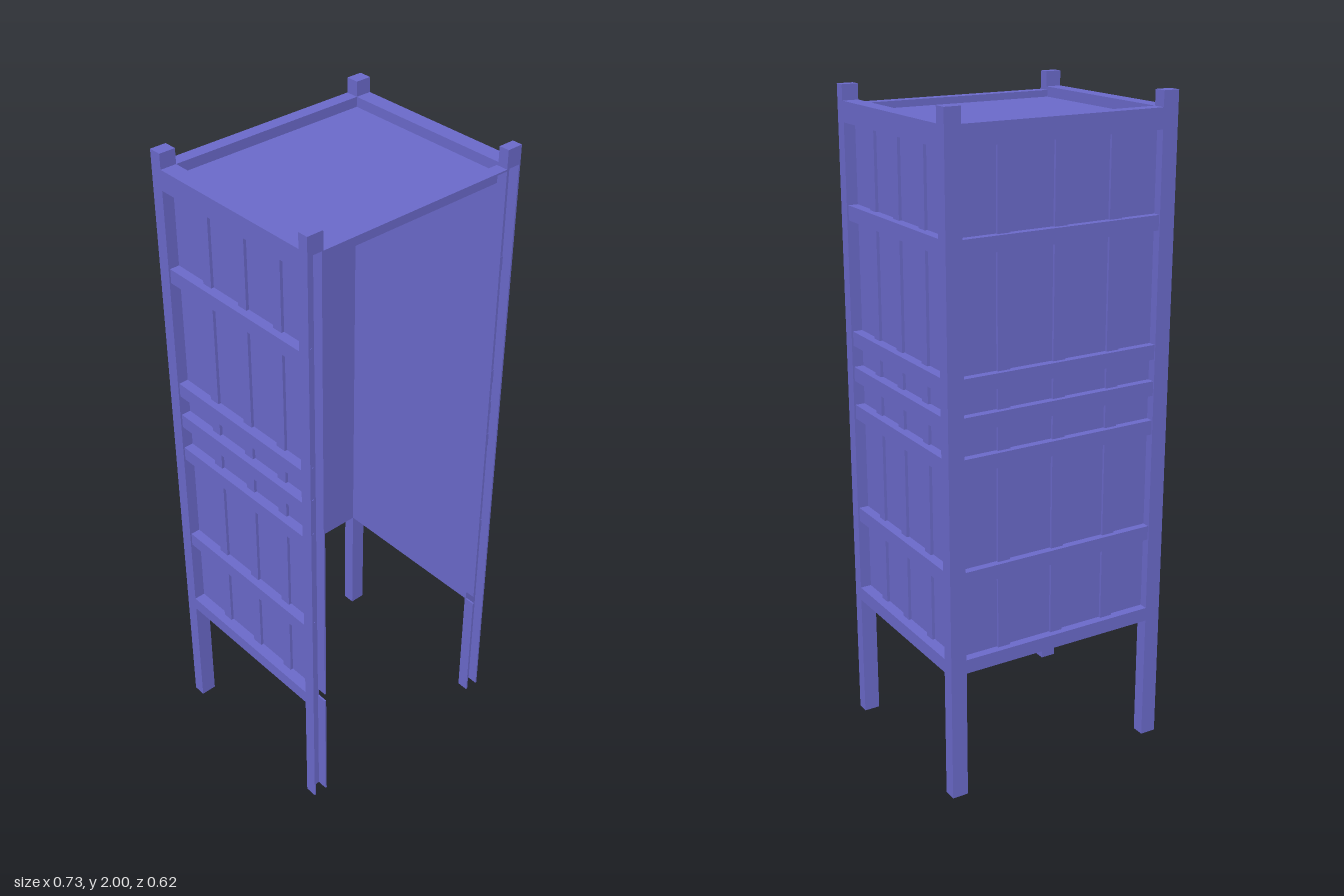
import * as THREE from 'three';

export function createModel() {
  const model = new THREE.Group();
  model.name = 'cabinet';
  const paint = new THREE.MeshStandardMaterial({ color: 0x6a69c9 });
  paint.name = 'violet paint';

  // Box given by its limits on each axis
  function box(name, x0, x1, y0, y1, z0, z1, parent = model) {
    const mesh = new THREE.Mesh(new THREE.BoxGeometry(x1 - x0, y1 - y0, z1 - z0), paint);
    mesh.position.set((x0 + x1) / 2, (y0 + y1) / 2, (z0 + z1) / 2);
    mesh.name = name;
    parent.add(mesh);
  }
  // Box mirrored to both sides in x
  function pair(name, x0, x1, y0, y1, z0, z1) {
    box(name + 'Left', x0, x1, y0, y1, z0, z1);
    box(name + 'Right', -x1, -x0, y0, y1, z0, z1);
  }

  const X = 0.367, XI = 0.317, Z = 0.31, ZB = -0.27, ZF = 0.278, T = 0.005;
  const bottom = 0.4, top = 1.955;

  // Solid back legs
  pair('backLeg', XI, X, 0, 2, -Z, ZB);

  // Front legs: channels open to the front, with solid tops
  pair('frontLegOuterSide', X - T, X, 0, top, ZF, Z);
  pair('frontLegInnerSide', XI, XI + T, 0, bottom, ZF, Z);
  pair('frontLegInnerUpperSide', XI, XI + T, bottom + 0.03, top, ZF, Z);
  pair('frontLegLowerWeb', XI, X, 0, bottom, ZF - T, ZF);
  pair('frontLegUpperWeb', XI, X, bottom + 0.03, top, ZF - T, ZF);
  pair('frontLegTop', XI, X, 1.945, 2, ZF, Z);

  // Top and bottom frame rails
  for (const [name, y0, y1] of [['bottomRail', bottom, 0.443], ['topRail', 1.895, top]]) {
    pair(name + 'Side', XI, X, y0, y1, ZB, ZF);
    box(name + 'Back', -XI, XI, y0, y1, -Z, ZB);
  }

  // Front top rail, open to the front
  box('frontRailWeb', -XI, XI, 1.895, 1.945, ZF - T, ZF);
  box('frontRailTop', -XI, XI, 1.94, 1.945, ZF, Z);

  // Roof
  box('roof', -XI, XI, 1.9, 1.925, ZB, ZF);

  // Wall panels
  pair('sidePanel', XI, 0.332, 0.443, 1.895, ZB, ZF);
  box('backPanel', -XI, XI, 0.443, 1.895, -0.283, ZB);

  // Upright strips
  for (const z of [0.157, 0.015, -0.133])
    pair('sideStrip', 0.33, 0.341, 0.443, 1.895, z - 0.017, z + 0.017);
  for (const x of [0.18, 0, -0.18])
    box('backStrip', x - 0.02, x + 0.02, 0.443, 1.895, -0.291, -0.28);

  // Cross battens
  for (const y of [0.693, 1.03, 1.15, 1.26, 1.637]) {
    pair('sideBatten', 0.33, 0.362, y - 0.022, y + 0.022, ZB, ZF + 0.002);
    box('backBatten', -XI, XI, y - 0.022, y + 0.022, -0.306, -0.28);
  }

  return model;
}
